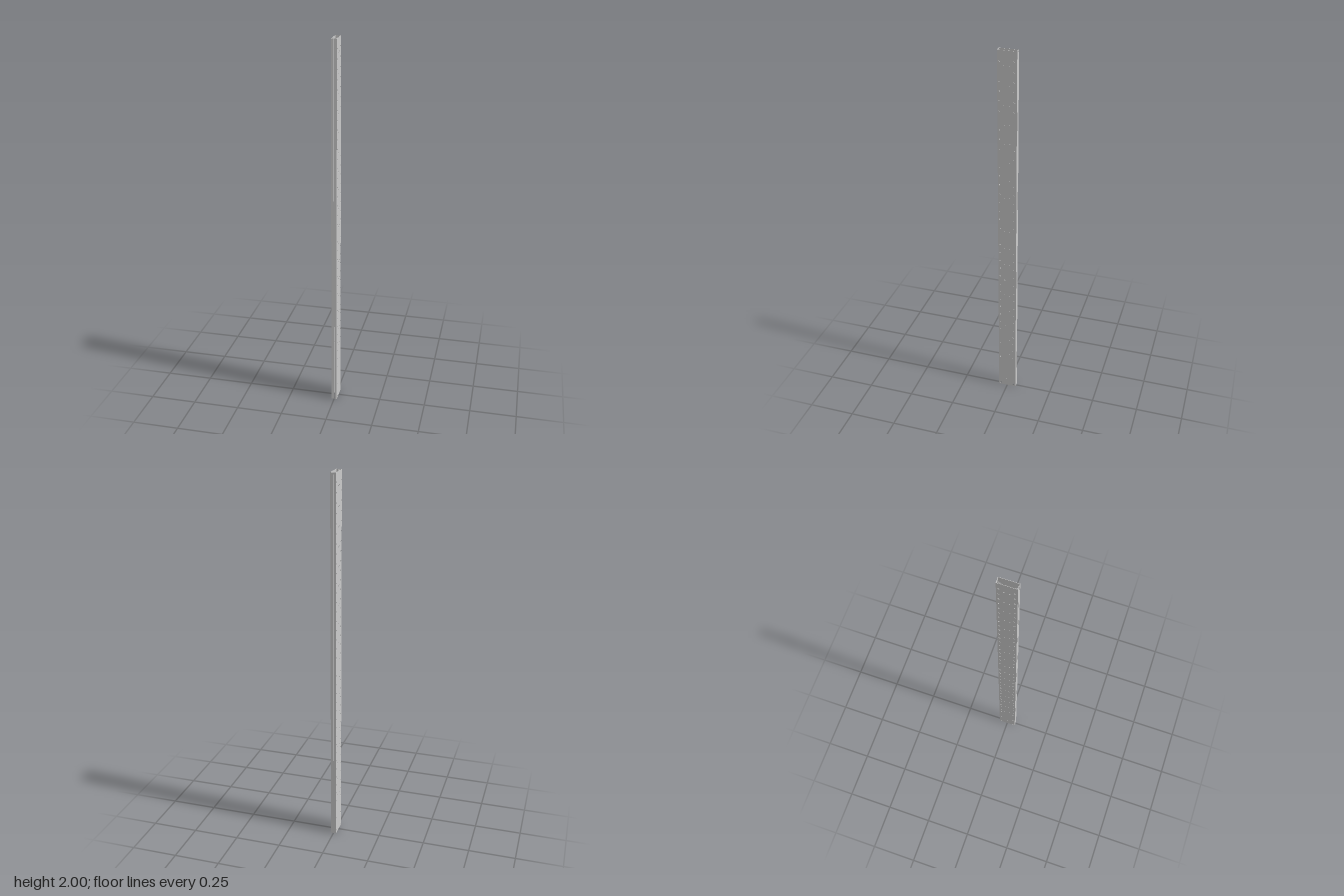
import * as THREE from 'three';

const H = 2, HALF_X = 0.0145, HALF_Z = 0.049, T = 0.0015, GAP = 0.001, LIP = 0.005;

function punch(shape, z, y, r) {
  const hole = new THREE.Path();
  hole.absarc(z, y, r, 0, Math.PI * 2, true);
  shape.holes.push(hole);
}

// Perforated plate, drawn in (z, y)
function webGeometry() {
  const s = new THREE.Shape();
  s.moveTo(-HALF_Z, 0);
  s.lineTo(HALF_Z, 0);
  s.lineTo(HALF_Z, H);
  s.lineTo(-HALF_Z, H);
  s.closePath();
  for (const side of [-1, 1]) {
    // outer rows, with a gap at mid height
    for (let i = 4; i <= 39; i++) if (i !== 20) punch(s, side * 0.037, i * 0.05, 0.005);
    // inner rows
    for (let i = 2; i <= 19; i++) punch(s, side * 0.013, i * 0.1 + 0.03, 0.004);
    // fixing holes at the foot
    punch(s, side * 0.037, 0.09, 0.005);
    punch(s, side * 0.037, 0.012, 0.005);
  }
  punch(s, 0, 0.05, 0.004);
  const g = new THREE.ExtrudeGeometry(s, { depth: T, bevelEnabled: false, curveSegments: 12 });
  g.rotateY(Math.PI / 2);
  g.translate(HALF_X - T, 0, 0);
  return g;
}

function createHalf(material) {
  const half = new THREE.Group();
  const add = (name, geometry, x = 0, y = 0, z = 0) => {
    const m = new THREE.Mesh(geometry, material);
    m.name = name;
    m.position.set(x, y, z);
    half.add(m);
  };
  add('perforatedWeb', webGeometry());
  const flangeWidth = HALF_X - T - GAP;
  for (const side of [-1, 1]) {
    add('flange', new THREE.BoxGeometry(flangeWidth, H, T),
      GAP + flangeWidth / 2, H / 2, side * (HALF_Z - T / 2));
    // short inward return along the seam
    add('seamLip', new THREE.BoxGeometry(T, H, LIP - T),
      GAP + T / 2, H / 2, side * (HALF_Z - T - (LIP - T) / 2));
  }
  return half;
}

export function createModel() {
  const model = new THREE.Group();
  model.name = 'perforatedPost';
  const material = new THREE.MeshStandardMaterial({ color: 0xcccccc });
  // two facing channels
  const left = createHalf(material);
  left.name = 'leftChannel';
  const right = createHalf(material);
  right.name = 'rightChannel';
  right.rotation.y = Math.PI;
  model.add(left, right);
  return model;
}
